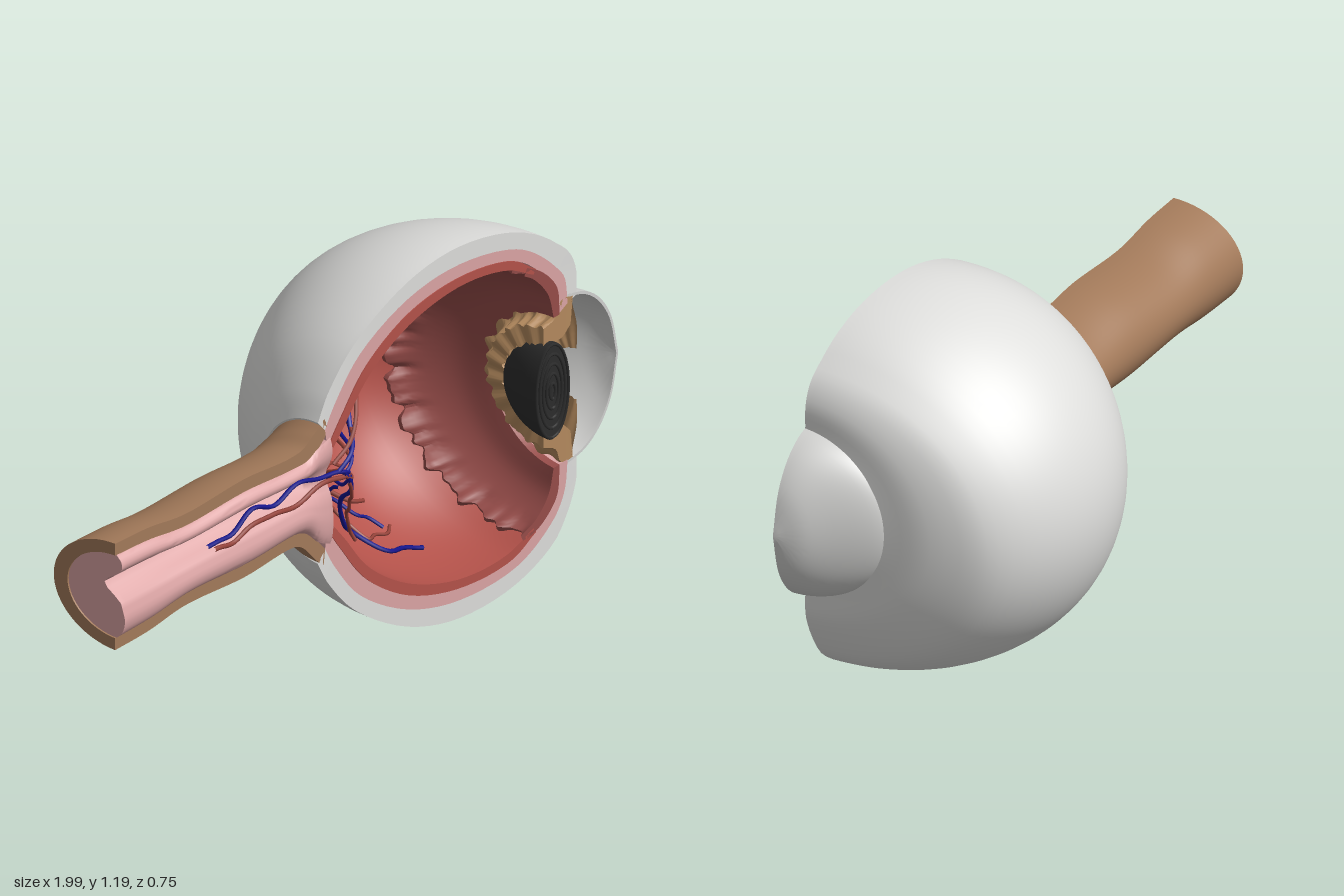
import * as THREE from 'three';
import { toCreasedNormals } from 'three/addons/utils/BufferGeometryUtils.js';

const mat = (name, color, side = THREE.FrontSide) => {
  const m = new THREE.MeshStandardMaterial({ color, side });
  m.name = name;
  return m;
};
const { lerp, smoothstep, clamp } = THREE.MathUtils;

// Smooth curve through a few [u, r] points
function spline(pts, n) {
  const c = new THREE.CatmullRomCurve3(pts.map(([a, b]) => new THREE.Vector3(a, b, 0)));
  return c.getPoints(n).map((p) => [p.x, Math.max(0, p.y)]);
}

// Radius of a profile at x
function radiusAt(pts, x) {
  for (let i = 1; i < pts.length; i++) {
    const [a, ra] = pts[i - 1], [b, rb] = pts[i];
    if (x <= b) return lerp(ra, rb, clamp((x - a) / (b - a), 0, 1));
  }
  return pts[pts.length - 1][1];
}

// Height of the eye's axis, and depth of the cutting plane along x
const AXIS = 0.595;
const cutZ = (x) => x < -0.1 ? 0.215 + 0.05 * (x + 0.1)
  : x < 0.8 ? 0.215 + 0.164 * (x + 0.1) : 0.363 + 0.05 * (x - 0.8);
const eyeDepth = (u, r) => 1 + 0.33 * u * clamp((r - 0.22) / 0.2, 0, 1);

const sheath = [[-0.99, 0.17], [-0.85, 0.165], [-0.7, 0.146], [-0.45, 0.157], [-0.22, 0.15],
  [-0.16, 0.195], [-0.11, 0.24]];
const sheathFine = spline(sheath, 120);

// Maps (distance along axis, radius, angle) into space
const eyeMap = (u, r, t) => new THREE.Vector3(
  u + Math.sin(t) * (0.03 * smoothstep(u, 0.55, 0.8) + 0.025 * (1 - smoothstep(u, -0.14, 0.1))),
  lerp(AXIS, 0.62, smoothstep(u, 0.74, 0.82)) + r * Math.cos(t),
  cutZ(u) - eyeDepth(u, r) * r * Math.sin(t));
const liningMap = (u, r, t) => eyeMap(u, r, t).add(new THREE.Vector3(0, 0, 0.003));
const nerveMap = (u, r, t) => new THREE.Vector3(
  u, lerp(0.61, 0.585, smoothstep(u, -0.25, -0.1)) + r * Math.cos(t),
  cutZ(u) - 0.222 * r / radiusAt(sheathFine, u) * Math.sin(t));
const frontMap = (u, r, t) => new THREE.Vector3(
  u, 0.62 + r * Math.cos(t), cutZ(u) - lerp(1.07, 0.68, smoothstep(u, 0.83, 0.98)) * r * Math.sin(t));

// Closed solid from sections; each section is two matching rows of points
function loft(sections, crease = 0.7) {
  const pos = [], idx = [];
  const n = sections[0][0].length, m = 2 * n, last = (sections.length - 1) * m;
  for (const [a, b] of sections)
    for (const p of [...a, ...[...b].reverse()]) pos.push(p.x, p.y, p.z);
  for (let j = 0; j < sections.length - 1; j++)
    for (let i = 0; i < m; i++) {
      const a = j * m + i, b = j * m + (i + 1) % m;
      idx.push(a, b, a + m, b, b + m, a + m);
    }
  for (let i = 0; i < n - 1; i++) {
    const a = i, b = m - 1 - i;
    idx.push(a, b, a + 1, b, b - 1, a + 1);
    idx.push(last + a, last + a + 1, last + b, last + b, last + a + 1, last + b - 1);
  }
  const g = new THREE.BufferGeometry();
  g.setAttribute('position', new THREE.Float32BufferAttribute(pos, 3));
  g.setIndex(idx);
  return toCreasedNormals(g, crease);
}

// Half-turn shell between an outer and an inner profile
function shell(outer, inner, map, n = 32, turns = 64) {
  const o = spline(outer, n), i = spline(inner, n), sections = [];
  for (let j = 0; j <= turns; j++) {
    const t = Math.PI * j / turns;
    sections.push([o, i].map((row) => row.map(([u, r]) => map(u, r, t))));
  }
  return loft(sections);
}

export function createModel() {
  const model = new THREE.Group();
  model.name = 'eyeCrossSection';
  const white = mat('scleraWhite', 0xdededc), pink = mat('choroidPink', 0xdca5a5),
    red = mat('retinaRed', 0xb4524a), maroon = mat('rimMaroon', 0x964c49),
    brown = mat('sheathBrown', 0xa37a5a), tan = mat('irisTan', 0xb48a5e, THREE.DoubleSide),
    dark = mat('lensBlack', 0x2c2c2c), blue = mat('veinBlue', 0x14148e),
    artery = mat('arteryRed', 0x96433a), clear = mat('corneaGrey', 0xd0d0ce);
  const add = (name, geo, material, parent = model) => {
    const mesh = new THREE.Mesh(geo, material);
    mesh.name = name;
    parent.add(mesh);
  };

  // Wall layers of the eyeball
  const scleraIn = [[-0.11, 0.19], [-0.07, 0.265], [0.02, 0.385], [0.2, 0.497], [0.39, 0.537],
    [0.6, 0.508], [0.71, 0.435], [0.775, 0.35], [0.79, 0.25]];
  const choroidIn = [[-0.1, 0.13], [-0.05, 0.21], [0.04, 0.335], [0.2, 0.447], [0.39, 0.493],
    [0.6, 0.468], [0.69, 0.4], [0.745, 0.33], [0.755, 0.24]];
  const retinaIn = [[-0.1, 0.1], [-0.04, 0.18], [0.05, 0.305], [0.2, 0.413], [0.39, 0.468],
    [0.56, 0.455], [0.66, 0.405]];
  add('sclera', shell([[-0.14, 0.225], [-0.1, 0.3], [0, 0.425], [0.2, 0.552], [0.39, 0.594],
    [0.6, 0.562], [0.75, 0.47], [0.82, 0.35], [0.825, 0.255]], scleraIn, eyeMap, 40, 80), white);
  add('choroid', shell(scleraIn, choroidIn, eyeMap, 40, 80), pink);
  add('retina', shell([[-0.1, 0.135], [-0.05, 0.214], [0.04, 0.339], [0.2, 0.451], [0.39, 0.497],
    [0.58, 0.478], [0.67, 0.42]], retinaIn, liningMap, 32, 80), red);

  // Darker lining in front of the retina, with a ragged edge
  const raggedMap = (u, r, t) => liningMap(u + (1 - smoothstep(u, 0.62, 0.68))
    * (0.01 * Math.sin(23 * t) + 0.008 * Math.sin(41 * t + 1) + 0.005 * Math.sin(67 * t)), r, t);
  add('retinaRim', shell([[0.63, 0.436], [0.69, 0.404], [0.747, 0.334], [0.757, 0.24]],
    [[0.62, 0.412], [0.665, 0.385], [0.715, 0.32], [0.735, 0.24]], raggedMap, 16, 160), maroon);

  // Cornea dome
  add('cornea', shell([[0.79, 0.27], [0.86, 0.252], [0.92, 0.208], [0.97, 0.13], [1, 0]],
    [[0.787, 0.262], [0.856, 0.244], [0.914, 0.201], [0.963, 0.125], [0.992, 0]], frontMap, 20, 40), clear);

  // Ciliary body, a rippled collar around the lens
  add('ciliaryBody', shell([[0.7, 0.19], [0.745, 0.21], [0.765, 0.258], [0.81, 0.262]],
    [[0.7, 0.135], [0.745, 0.135], [0.77, 0.14], [0.8, 0.17]],
    (u, r, t) => frontMap(u + 0.005 * Math.sin(17 * t), r + 0.005 * Math.sin(29 * t), t), 12, 128), tan);

  // Iris with radial folds
  const iris = new THREE.PlaneGeometry(1, 1, 160, 8), ip = iris.attributes.position;
  for (let i = 0; i < ip.count; i++) {
    const t = Math.PI * (ip.getX(i) + 0.5), s = ip.getY(i) + 0.5;
    const fold = 0.006 * Math.sin(22 * t + 4 * s) * Math.sin(Math.PI * (0.15 + 0.85 * s));
    const p = frontMap(0.825 - 0.025 * s * s + fold, lerp(0.08, 0.263, s), t);
    ip.setXYZ(i, p.x, p.y, p.z);
  }
  iris.computeVertexNormals();
  add('iris', iris, tan);

  // Lens, cut in half, with raised growth rings on the cut face
  const lens = new THREE.Group();
  lens.name = 'lens';
  model.add(lens);
  const arc = [], core = [];
  for (let i = 0; i <= 12; i++) {
    const a = Math.PI * i / 12, u = 0.72 - 0.062 * Math.cos(a);
    arc.push([u, 0.155 * Math.sin(a)]);
    core.push([u, 0]);
  }
  const lensMap = (u, r, t) => frontMap(u, r, t).add(new THREE.Vector3(0, -0.01, 0.012));
  add('lensBody', shell(arc, core, lensMap, 24, 32), dark, lens);
  for (const s of [0.96, 0.76, 0.56, 0.36, 0.16]) {
    const pts = [];
    for (let i = 0; i < 32; i++) {
      const a = Math.PI * i / 16, x = 0.72 + 0.062 * s * Math.cos(a);
      pts.push(new THREE.Vector3(x, 0.61 + 0.155 * s * Math.sin(a), cutZ(x) + 0.013));
    }
    add('lensRing', new THREE.TubeGeometry(new THREE.CatmullRomCurve3(pts, true), 48, 0.005, 5, true), dark, lens);
  }

  // Optic nerve sheath
  add('nerveSheath', shell(sheath,
    [[-0.99, 0.132], [-0.85, 0.126], [-0.7, 0.108], [-0.45, 0.116], [-0.2, 0.11], [-0.14, 0.148], [-0.1, 0.19]],
    nerveMap, 40, 32), brown);

  // Nerve core: half-round behind, grooved lengthwise in front
  const sections = spline([[-0.985, 0.132], [-0.85, 0.126], [-0.7, 0.108], [-0.45, 0.116], [-0.2, 0.111],
    [-0.14, 0.149], [-0.09, 0.17]], 40).map(([u, r]) => {
    const back = [], front = [];
    for (let i = 0; i <= 24; i++) {
      const t = Math.PI * (1 - i / 24), v = Math.cos(t), p = nerveMap(u, r, t);
      const bump = 0.032 * (1 - v ** 6) - 0.075 * Math.exp(-(((v - 0.25) / 0.3) ** 2))
        - 0.007 * Math.exp(-(((v + 0.3) / 0.1) ** 2));
      back.push(p);
      front.push(new THREE.Vector3(u, p.y, cutZ(u) + bump * (1 - 0.6 * smoothstep(u, -0.25, -0.1))));
    }
    return [back, front];
  });
  add('nerveCore', loft(sections, 0.9), pink);

  // Blood vessels lying on the nerve and fanning over the retina, lifting off it near the cut
  const onRetina = (x, y) => {
    const r = radiusAt(retinaIn, x) - 0.006, c = clamp((y - AXIS) / r, -0.98, 0.98);
    const deep = cutZ(x) - (1 - 0.4 * c * c) * eyeDepth(x, r) * r * Math.sqrt(1 - c * c);
    return new THREE.Vector3(x, y, lerp(cutZ(x) + 0.022, deep, smoothstep(x, -0.06, 0.2)));
  };
  const vessels = (name, material, paths, phase) => {
    const group = new THREE.Group();
    group.name = name + 's';
    model.add(group);
    paths.forEach((path, k) => {
      const flat = [];
      for (let i = 0; i < path.length; i += 2) flat.push(new THREE.Vector3(path[i], path[i + 1], 0));
      const pts = new THREE.CatmullRomCurve3(flat).getPoints(24).map((p, i) =>
        onRetina(p.x, p.y + 0.006 * Math.sin(i * 0.9 + k + phase) * Math.min(1, i / 4)));
      add(name, new THREE.TubeGeometry(new THREE.CatmullRomCurve3(pts), 40, k < 3 ? 0.007 : 0.0055, 6), material, group);
    });
  };
  vessels('vein', blue, [
    [-0.63, 0.63, -0.54, 0.63, -0.45, 0.67, -0.35, 0.655, -0.25, 0.675, -0.14, 0.66, -0.04, 0.63],
    [-0.08, 0.65, 0.02, 0.72, 0.1, 0.85, 0.18, 0.93, 0.3, 0.96, 0.42, 1, 0.5, 1.03],
    [-0.06, 0.64, 0.04, 0.5, 0.12, 0.36, 0.2, 0.27, 0.3, 0.2, 0.4, 0.18],
    [0.1, 0.85, 0.18, 0.95, 0.28, 1, 0.38, 1.01],
    [0, 0.7, 0.1, 0.78, 0.2, 0.85, 0.35, 0.88, 0.42, 0.93, 0.52, 0.95],
    [-0.05, 0.64, 0.08, 0.7, 0.17, 0.78, 0.27, 0.82],
    [-0.05, 0.63, 0.01, 0.57, 0.08, 0.5, 0.17, 0.47],
    [0.06, 0.5, 0.14, 0.42, 0.24, 0.32, 0.33, 0.24],
    [0.05, 0.76, 0.1, 0.88, 0.16, 0.98, 0.23, 1.01],
  ], 0);
  vessels('artery', artery, [
    [-0.6, 0.61, -0.5, 0.605, -0.4, 0.63, -0.3, 0.61, -0.18, 0.63, -0.04, 0.63],
    [-0.1, 0.68, 0, 0.76, 0.1, 0.88, 0.2, 0.92, 0.32, 1, 0.44, 1.01],
    [-0.06, 0.63, 0.06, 0.55, 0.14, 0.46, 0.22, 0.36, 0.34, 0.29],
    [0, 0.72, 0.12, 0.75, 0.24, 0.77, 0.36, 0.82, 0.42, 0.88, 0.52, 0.88],
    [0.1, 0.73, 0.22, 0.72, 0.34, 0.7, 0.42, 0.73, 0.5, 0.73],
    [0, 0.64, 0.12, 0.66, 0.24, 0.64, 0.34, 0.6, 0.44, 0.59],
    [0.1, 0.62, 0.22, 0.55, 0.32, 0.5, 0.4, 0.5, 0.44, 0.46],
    [0.1, 0.52, 0.22, 0.46, 0.28, 0.4, 0.36, 0.37],
    [0.14, 0.46, 0.18, 0.36, 0.24, 0.25, 0.36, 0.23],
    [0.1, 0.86, 0.16, 0.95, 0.24, 0.98, 0.34, 0.93, 0.44, 0.96],
    [0.2, 0.77, 0.28, 0.86, 0.36, 0.85, 0.42, 0.8],
    [-0.04, 0.6, 0.02, 0.5, 0.06, 0.42, 0.12, 0.31],
  ], 2);
  return model;
}
